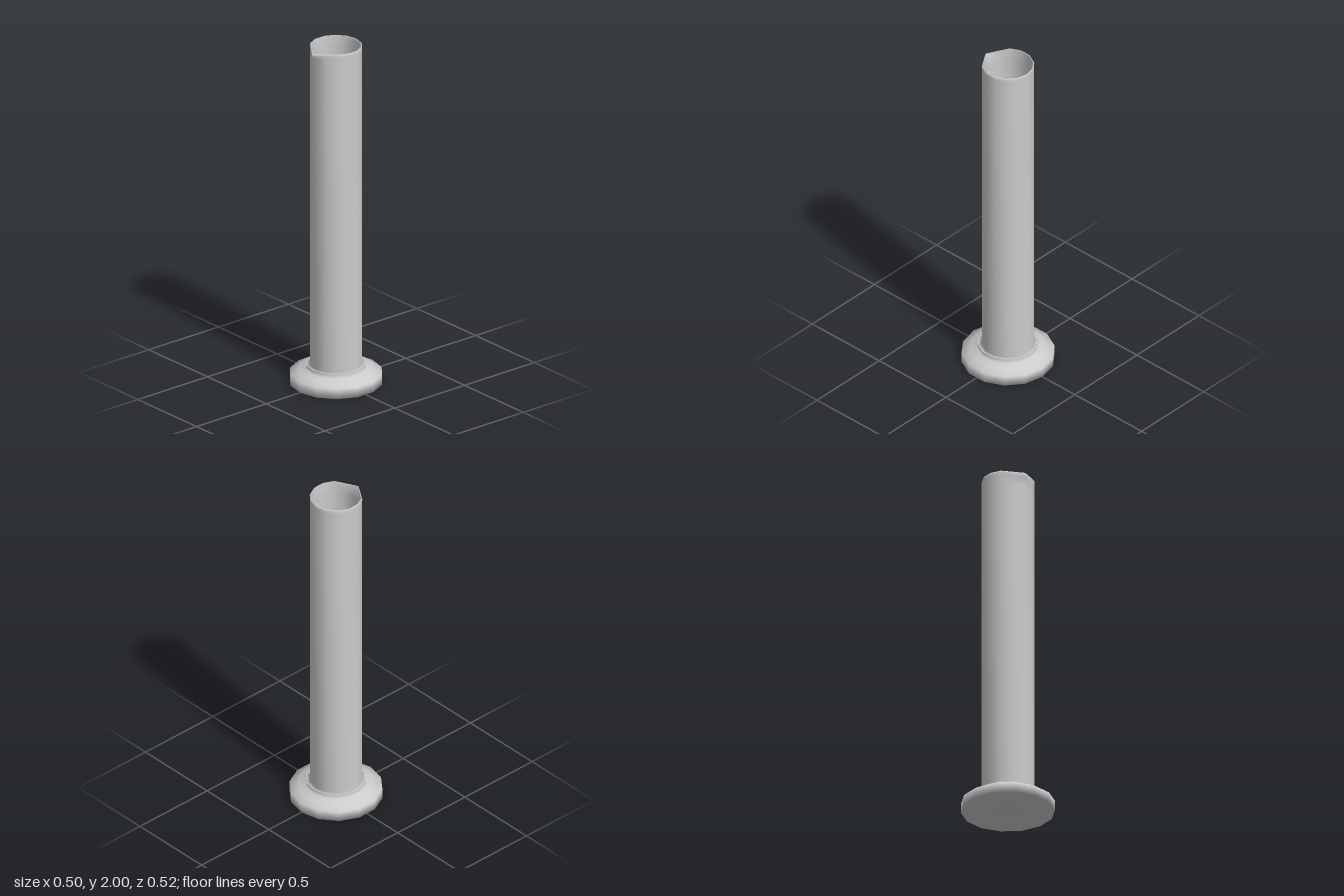
import * as THREE from 'three';
import { mergeVertices } from 'three/addons/utils/BufferGeometryUtils.js';

const SIDES = 14;

// Turned part with normals smoothed over every edge; reshape may move each vertex.
function turned(name, profile, material, reshape) {
  let geo = new THREE.LatheGeometry(profile.map(([r, y]) => new THREE.Vector2(r, y)), SIDES);
  const pos = geo.attributes.position;
  const v = new THREE.Vector3();
  if (reshape) {
    for (let i = 0; i < pos.count; i++) {
      v.fromBufferAttribute(pos, i);
      reshape(v);
      pos.setXYZ(i, v.x, v.y, v.z);
    }
  }
  geo.deleteAttribute('normal');
  geo.deleteAttribute('uv');
  geo = mergeVertices(geo, 1e-5);
  geo.computeVertexNormals();
  const mesh = new THREE.Mesh(geo, material);
  mesh.name = name;
  return mesh;
}

// Pulls the front corner of the rim out and down into a pouring lip.
function pourSpout(v) {
  if (v.y < 1.95) return;
  const angle = Math.abs(Math.atan2(v.x, v.z));
  if (angle < 0.1) {
    v.z += 0.024;
    v.y -= 0.014;
  } else if (angle < 0.6) {
    v.x *= 0.98;
    v.z *= 0.97;
    v.y -= 0.006;
  }
}

export function createModel() {
  const group = new THREE.Group();
  group.name = 'measuringCylinder';
  const material = new THREE.MeshStandardMaterial({ color: 0xcccccc, side: THREE.DoubleSide });

  // Stepped foot
  group.add(turned('base', [
    [0, 0], [0.258, 0], [0.258, 0.058],
    [0.213, 0.058], [0.213, 0.083],
    [0.168, 0.083], [0.168, 0.11],
  ], material));

  // Hollow tube: foot ledge, outer wall, rounded rim, inner wall and floor
  group.add(turned('tube', [
    [0.168, 0.11], [0.145, 0.11], [0.145, 1.92],
    [0.145, 1.975], [0.146, 1.992], [0.142, 2], [0.137, 1.994],
    [0.136, 1.92], [0.136, 0.11], [0, 0.11],
  ], material, pourSpout));

  return group;
}
